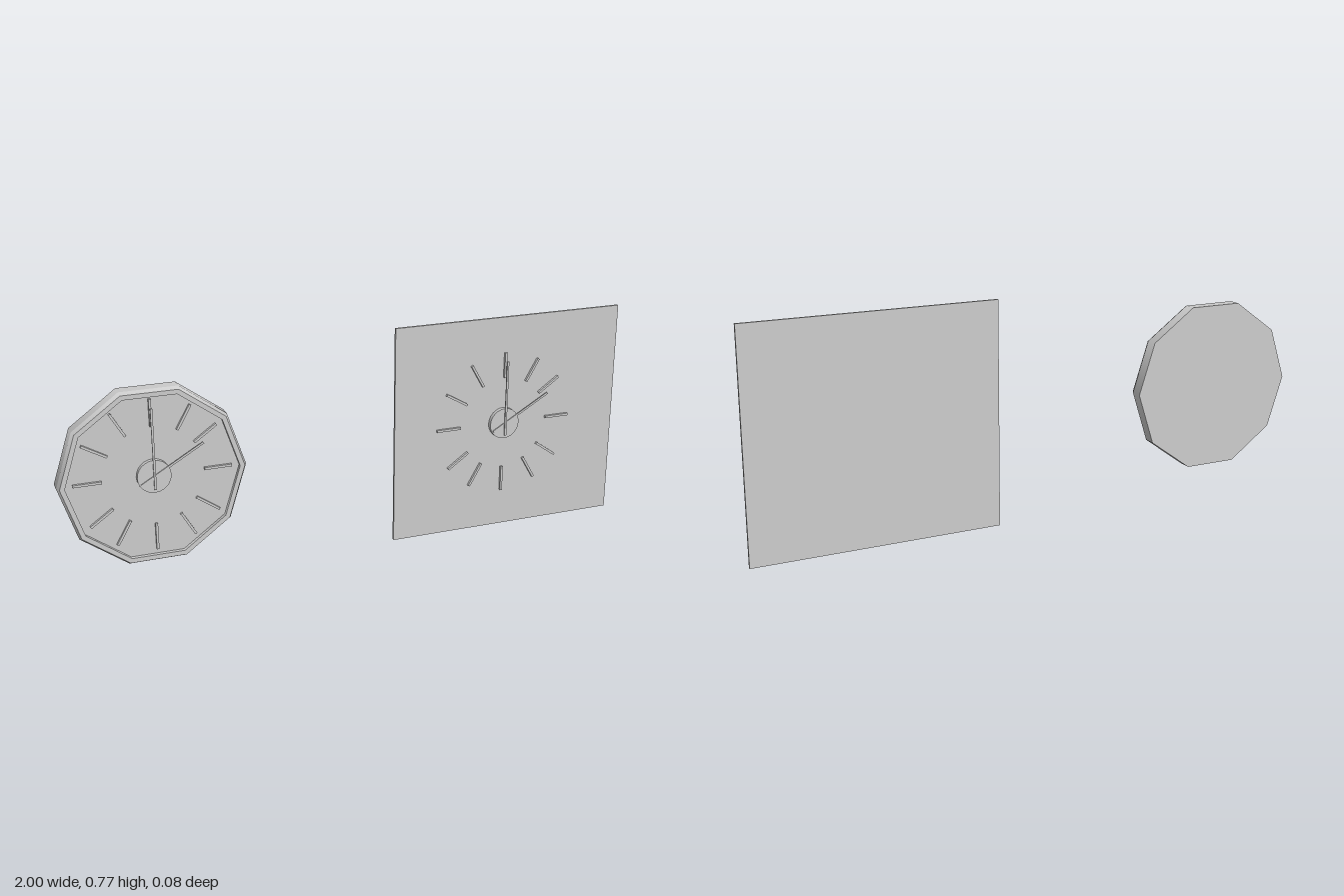
import * as THREE from 'three';
import { mergeGeometries } from 'three/addons/utils/BufferGeometryUtils.js';

const material = new THREE.MeshStandardMaterial({ color: 0xcccccc });

function part(name, geometry) {
  const mesh = new THREE.Mesh(geometry, material);
  mesh.name = name;
  return mesh;
}

// Thin bar lying along a ray from the clock centre, from radius r0 to r1.
function radialBar(name, degrees, r0, r1, width, z0, z1) {
  const bar = new THREE.BoxGeometry(r1 - r0, width, z1 - z0);
  bar.translate((r0 + r1) / 2, 0, (z0 + z1) / 2);
  bar.rotateZ(THREE.MathUtils.degToRad(degrees));
  return part(name, bar);
}

// Hour markers, hub and hands; z = 0 is the dial surface.
function createMovement() {
  const movement = new THREE.Group();
  movement.name = 'movement';
  const markerAngles = [0, 35, 60, 90, 120, 150, 180, 215, 240, 270, 300, 325];
  for (const angle of markerAngles) {
    movement.add(radialBar('hourMarker', angle, 0.165, 0.255, 0.008, 0, 0.009));
  }
  const hub = new THREE.CylinderGeometry(0.055, 0.055, 0.015, 24);
  hub.rotateX(Math.PI / 2).translate(0, 0, 0.0075);
  movement.add(part('hub', hub));
  movement.add(radialBar('hourHand', 30, -0.05, 0.188, 0.007, 0.015, 0.019));
  movement.add(radialBar('minuteHand', 90, -0.042, 0.228, 0.007, 0.02, 0.025));
  return movement;
}

// Ten-sided case; one lathe band per profile step keeps the rims sharp.
function createDecagonCase() {
  const profile = [
    [0, -0.03], [0.305, -0.03], [0.305, 0.013], [0.297, 0.028],
    [0.281, 0.028], [0.281, 0.014], [0, 0.014],
  ].map(([r, h]) => new THREE.Vector2(r, h));
  const bands = [];
  for (let i = 0; i < profile.length - 1; i++) {
    bands.push(new THREE.LatheGeometry([profile[i], profile[i + 1]], 10, Math.PI / 2));
  }
  return part('decagonCase', mergeGeometries(bands).rotateX(Math.PI / 2));
}

export function createModel() {
  const model = new THREE.Group();
  model.name = 'wallClocks';

  // Ten-sided clock
  const decagonClock = new THREE.Group();
  decagonClock.name = 'decagonClock';
  decagonClock.position.set(-0.695, 0.383, 0);
  const decagonMovement = createMovement();
  decagonMovement.position.set(0, 0.004, 0.014);
  decagonClock.add(createDecagonCase(), decagonMovement);

  // Flat rectangular clock
  const plateClock = new THREE.Group();
  plateClock.name = 'plateClock';
  const plate = part('backPlate', new THREE.BoxGeometry(0.85, 0.768, 0.009));
  plate.position.set(0.575, 0.384, -0.0335);
  const plateMovement = createMovement();
  plateMovement.position.set(0.561, 0.387, -0.029);
  plateClock.add(plate, plateMovement);

  model.add(decagonClock, plateClock);
  return model;
}
